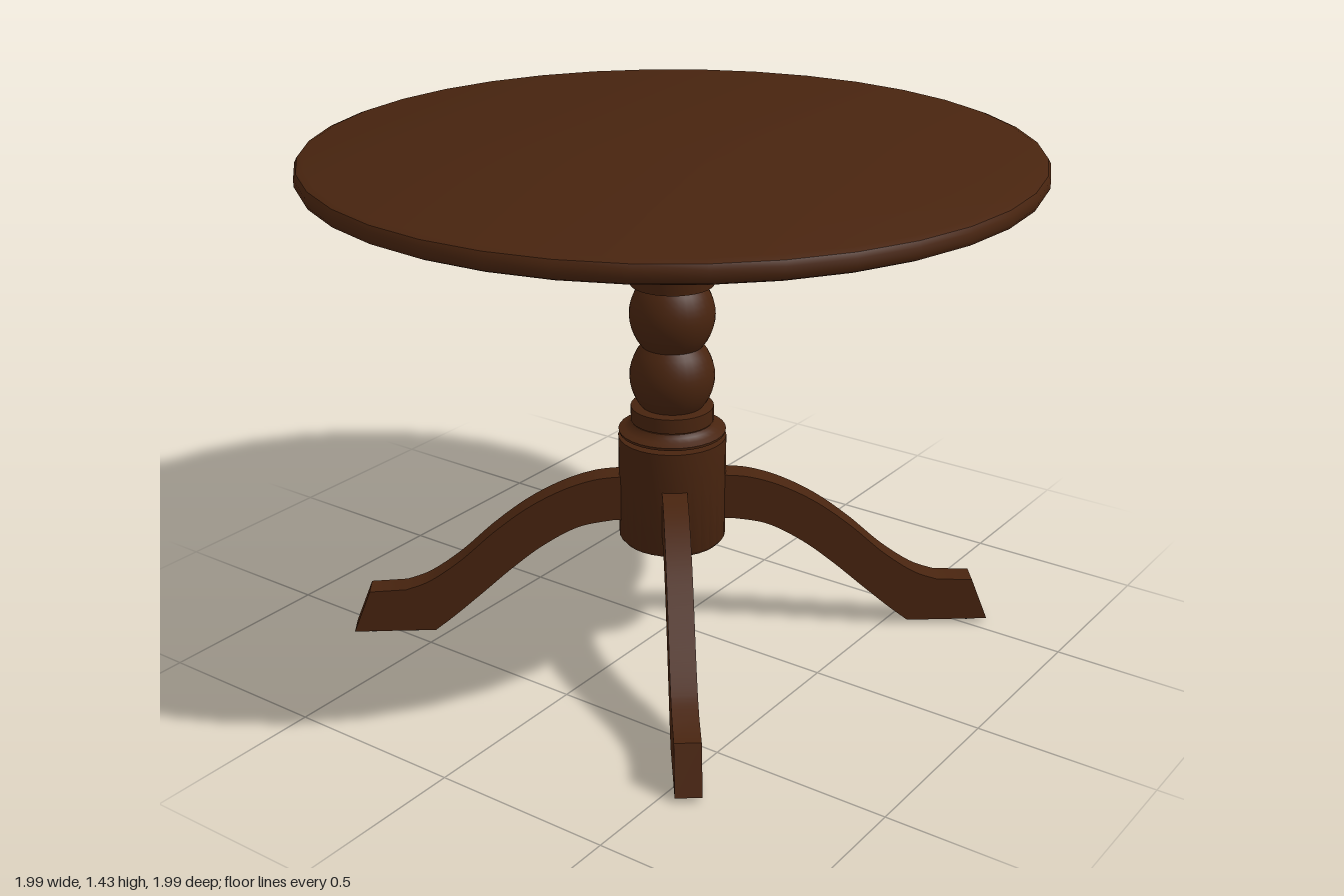
import * as THREE from 'three';
import { toCreasedNormals } from 'three/addons/utils/BufferGeometryUtils.js';

const wood = new THREE.MeshStandardMaterial({ color: 0x48240f });
wood.name = 'darkWood';
const metal = new THREE.MeshStandardMaterial({ color: 0x70747a });
metal.name = 'greyMetal';

export function createModel() {
  const model = new THREE.Group();
  model.name = 'pedestalTable';

  const add = (name, geometry, material = wood, parent = model) => {
    const mesh = new THREE.Mesh(geometry, material);
    mesh.name = name;
    parent.add(mesh);
    return mesh;
  };

  // Solid of revolution; the profile runs from bottom to top and is closed at the axis
  const turned = (name, profile, sides = 32) => {
    const pts = [[0, profile[0][1]], ...profile, [0, profile[profile.length - 1][1]]];
    const lathe = new THREE.LatheGeometry(pts.map(([r, y]) => new THREE.Vector2(r, y)), sides);
    return add(name, toCreasedNormals(lathe, 0.7));
  };

  // Bulging profile for the turned balls
  const ball = (y0, y1, neck, belly) => {
    const pts = [];
    for (let i = 0; i <= 10; i++) {
      const t = i / 10;
      pts.push([neck + (belly - neck) * Math.pow(Math.sin(Math.PI * t), 0.8), y0 + (y1 - y0) * t]);
    }
    return pts;
  };

  // Table top with a rounded rim, and its mounting plate
  turned('tableTop', [[0.975, 1.375], [0.99, 1.382], [0.997, 1.395], [0.997, 1.415],
    [0.99, 1.428], [0.972, 1.435]], 36);
  turned('mountingPlate', [[0.308, 1.345], [0.308, 1.376]]);

  // Column, from the floor end upwards
  turned('hub', [[0.142, 0.288], [0.152, 0.3], [0.153, 0.605]]);
  turned('columnCore', [[0.06, 0.6], [0.06, 0.7]], 16).visible = true;
  turned('baseRing', [[0.15, 0.617], [0.152, 0.625], [0.135, 0.632], [0.12, 0.64], [0.115, 0.65]]);
  turned('lowerCollar', [[0.117, 0.653], [0.117, 0.695], [0.1, 0.698]]);
  turned('lowerBall', ball(0.693, 0.876, 0.085, 0.12));
  turned('upperBall', ball(0.874, 1.058, 0.085, 0.12));
  turned('upperCollar', [[0.117, 1.055], [0.122, 1.108], [0.132, 1.112], [0.142, 1.12],
    [0.142, 1.14], [0.157, 1.146], [0.16, 1.158], [0.157, 1.17], [0.15, 1.176]]);
  turned('columnHead', [[0.153, 1.174], [0.153, 1.33], [0.145, 1.346]]);

  // Curved leg outline: x runs outward from the column
  const outline = new THREE.Shape();
  outline.moveTo(0.08, 0.49);
  outline.lineTo(0.08, 0.355);
  outline.lineTo(0.17, 0.355);
  outline.splineThru([[0.27, 0.335], [0.37, 0.28], [0.46, 0.21], [0.55, 0.13], [0.63, 0.06], [0.69, 0.012]]
    .map(([x, y]) => new THREE.Vector2(x, y)));
  outline.lineTo(0.925, 0.012);
  outline.lineTo(0.875, 0.14);
  outline.lineTo(0.77, 0.145);
  outline.splineThru([[0.7, 0.172], [0.61, 0.235], [0.51, 0.325], [0.41, 0.4], [0.31, 0.453], [0.22, 0.482], [0.14, 0.49]]
    .map(([x, y]) => new THREE.Vector2(x, y)));
  const legGeometry = toCreasedNormals(new THREE.ExtrudeGeometry(outline, {
    depth: 0.07, bevelEnabled: false, curveSegments: 14,
  }).translate(0, 0, -0.035), 0.5);

  // Four legs with small metal glides under the feet
  const glide = new THREE.CylinderGeometry(0.018, 0.016, 0.014, 12);
  for (let i = 0; i < 4; i++) {
    const leg = new THREE.Group();
    leg.name = 'leg' + (i + 1);
    leg.rotation.y = THREE.MathUtils.degToRad(-52 + i * 90);
    add('legBody', legGeometry, wood, leg);
    for (const x of [0.75, 0.87]) add('footGlide', glide, metal, leg).position.set(x, 0.007, 0);
    model.add(leg);
  }

  // Screws holding the plate to the top
  const screw = new THREE.CylinderGeometry(0.028, 0.016, 0.02, 10);
  for (let i = 0; i < 4; i++) {
    const a = THREE.MathUtils.degToRad(37 + i * 90);
    add('plateScrew', screw, metal).position.set(0.24 * Math.cos(a), 1.336, 0.24 * Math.sin(a));
  }

  return model;
}
